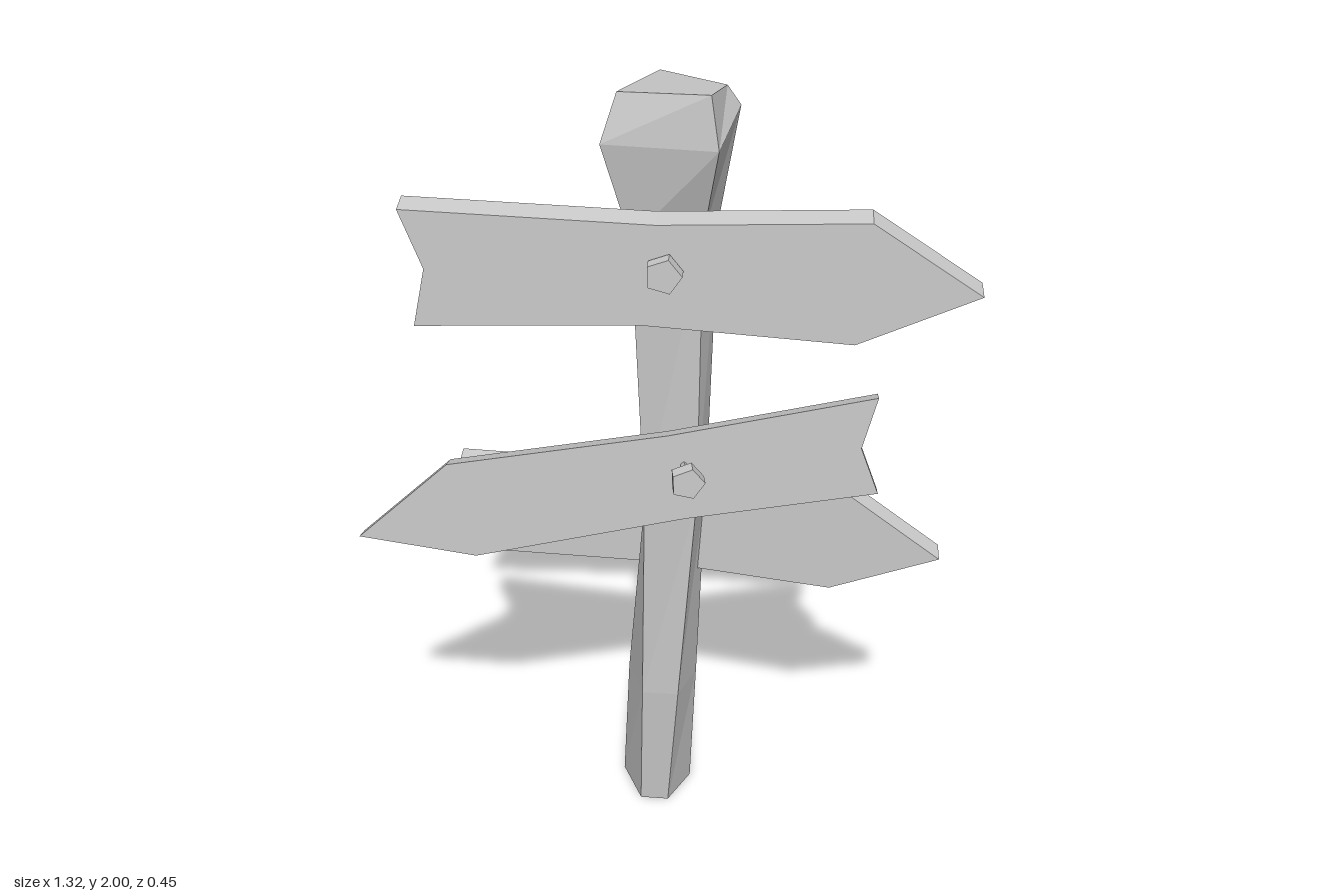
import * as THREE from 'three';

const material = new THREE.MeshStandardMaterial({ color: 0xcccccc, flatShading: true });

function addMesh(parent, name, geometry) {
  const mesh = new THREE.Mesh(geometry, material);
  mesh.name = name;
  parent.add(mesh);
  return mesh;
}

// Four-sided twisted post lofted through rings of corners (back, right, front right, front left)
function postGeometry() {
  const rings = [
    [[-0.115, 0, -0.168], [0.065, 0, -0.152], [0.012, 0, -0.05], [-0.06, 0, -0.052]],
    [[-0.093, 0.4, -0.115], [0.08, 0.4, -0.108], [0.04, 0.4, -0.005], [-0.05, 0.4, -0.006]],
    [[-0.035, 1.0, -0.06], [0.1, 1.0, -0.055], [0.082, 1.0, 0.025], [-0.038, 1.0, 0.04]],
    [[-0.02, 1.68, -0.07], [0.118, 1.68, -0.02], [0.09, 1.68, 0.06], [-0.058, 1.68, 0.096]],
    [[-0.02, 1.9, -0.143], [0.16, 1.94, 0.005], [0.122, 1.885, 0.128], [-0.113, 1.9, 0.143]],
    [[-0.012, 1.97, -0.112], [0.132, 1.985, 0.02], [0.105, 1.998, 0.125], [-0.08, 2.0, 0.122]],
  ];
  const index = [0, 1, 2, 0, 2, 3];
  for (let r = 0; r < rings.length - 1; r++) {
    for (let k = 0; k < 4; k++) {
      const i = r * 4 + k, j = r * 4 + (k + 1) % 4;
      index.push(j, i, i + 4, j, i + 4, j + 4);
    }
  }
  const t = (rings.length - 1) * 4;
  index.push(t + 3, t + 2, t + 1, t + 3, t + 1, t);
  const indexed = new THREE.BufferGeometry();
  indexed.setAttribute('position', new THREE.Float32BufferAttribute(rings.flat(2), 3));
  indexed.setIndex(index);
  const geometry = indexed.toNonIndexed();
  geometry.computeVertexNormals();
  return geometry;
}

// Arrow plank: outline extruded, then slanted so its front runs from zLeft to zRight
function plankGeometry({ outline, zLeft, zRight, thickness, lean }) {
  const shape = new THREE.Shape(outline.map(([x, y]) => new THREE.Vector2(x, y)));
  const geometry = new THREE.ExtrudeGeometry(shape, { depth: 1, bevelEnabled: false });
  const xs = outline.map((p) => p[0]);
  const min = Math.min(...xs), max = Math.max(...xs);
  const pos = geometry.attributes.position;
  for (let i = 0; i < pos.count; i++) {
    const back = 1 - pos.getZ(i);
    const f = (pos.getX(i) - min) / (max - min);
    pos.setY(i, pos.getY(i) + back * lean);
    pos.setZ(i, THREE.MathUtils.lerp(zLeft, zRight, f) - back * thickness);
  }
  geometry.computeVertexNormals();
  return geometry;
}

// Five-sided nail head with a pointed shank
function makeNail(name, x, y, zFront, length, turn) {
  const nail = new THREE.Group();
  nail.name = name;
  const head = addMesh(nail, 'nailHead', new THREE.CylinderGeometry(0.039, 0.039, 0.03, 5));
  head.rotation.set(Math.PI / 2, 0.35, 0);
  head.position.z = -0.015;
  const shank = addMesh(nail, 'nailShank', new THREE.ConeGeometry(0.018, length, 5));
  shank.rotation.x = -Math.PI / 2;
  shank.position.z = -0.03 - length / 2;
  nail.position.set(x, y, zFront);
  nail.rotation.y = turn;
  return nail;
}

export function createModel() {
  const model = new THREE.Group();
  model.name = 'signpost';
  addMesh(model, 'post', postGeometry());

  const planks = {
    topPlank: {
      outline: [[-0.52, 1.768], [-0.475, 1.64], [-0.505, 1.51], [-0.03, 1.53], [0.41, 1.503],
        [0.66, 1.62], [0.43, 1.77], [0, 1.752]],
      zLeft: 0.182, zRight: 0.192, thickness: 0.053, lean: 0.008,
    },
    middlePlank: {
      outline: [[-0.663, 1.0], [-0.41, 0.932], [0.06, 1.005], [0.495, 1.048], [0.45, 1.17],
        [0.48, 1.297], [0.02, 1.225], [-0.46, 1.177]],
      zLeft: 0.222, zRight: 0.035, thickness: 0.048, lean: -0.015,
    },
    lowPlank: {
      outline: [[-0.51, 0.96], [-0.465, 0.82], [-0.5, 0.705], [-0.03, 0.757], [0.4, 0.765],
        [0.645, 0.895], [0.41, 1.045], [0, 1.005]],
      zLeft: -0.178, zRight: 0.066, thickness: 0.049, lean: 0.008,
    },
  };
  for (const [name, plank] of Object.entries(planks)) addMesh(model, name, plankGeometry(plank));

  model.add(makeNail('topNail', 0.018, 1.655, 0.22, 0.09, 0));
  model.add(makeNail('middleNail', 0.07, 1.15, 0.19, 0.09, 0.16));
  return model;
}
